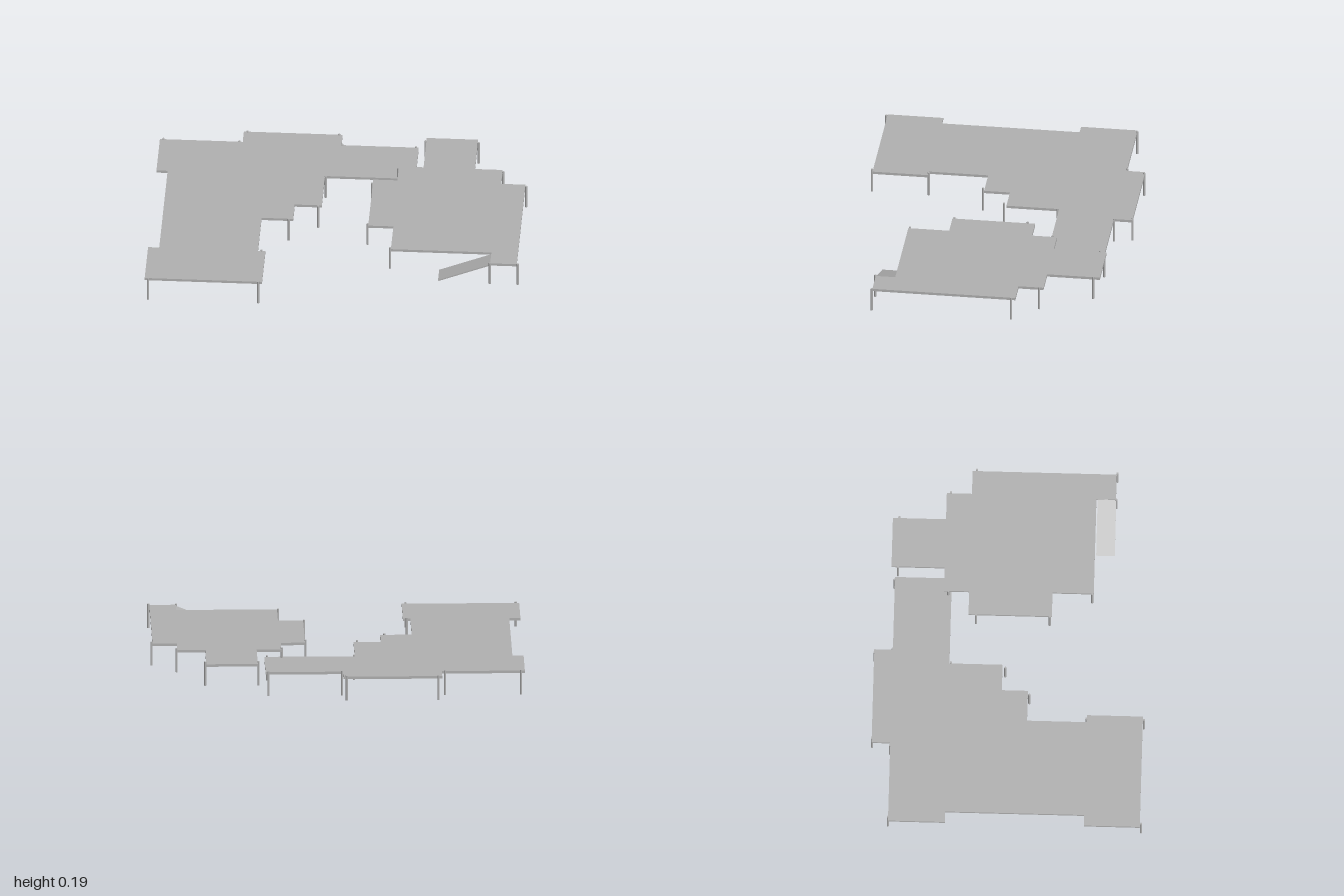
import * as THREE from 'three';

const grey = new THREE.MeshStandardMaterial({ color: 0xb2b2b2 });
grey.name = 'grey';

// Flat slab from an [x, z] outline
function deck(name, outline, bottom, thickness) {
  const shape = new THREE.Shape(outline.map(([x, z]) => new THREE.Vector2(x, -z)));
  const geo = new THREE.ExtrudeGeometry(shape, { depth: thickness, bevelEnabled: false });
  geo.rotateX(-Math.PI / 2);
  const mesh = new THREE.Mesh(geo, grey);
  mesh.position.y = bottom;
  mesh.name = name;
  return mesh;
}

// Slim posts standing at [x, z] spots
function posts(name, spots, bottom, top) {
  const group = new THREE.Group();
  group.name = name;
  const geo = new THREE.CylinderGeometry(0.006, 0.006, top - bottom, 10);
  for (const [x, z] of spots) {
    const post = new THREE.Mesh(geo, grey);
    post.position.set(x, (bottom + top) / 2, z);
    post.name = 'post';
    group.add(post);
  }
  return group;
}

export function createModel() {
  const model = new THREE.Group();
  model.name = 'raisedDecks';

  // Lower L-shaped deck
  model.add(deck('lowerDeck', [
    [-1, -0.63], [-0.555, -0.63], [-0.555, -0.73], [-0.025, -0.73], [-0.025, -0.63],
    [0.39, -0.63], [0.39, -0.325], [-0.095, -0.325], [-0.095, -0.04], [-0.24, -0.04],
    [-0.24, 0.1], [-0.41, 0.1], [-0.41, 0.42], [-0.37, 0.42], [-0.37, 0.72],
    [-1, 0.72], [-1, 0.42], [-0.94, 0.42], [-0.94, -0.325], [-1, -0.325],
  ], 0.118, 0.014));
  model.add(posts('lowerPosts', [
    [-0.98, -0.631], [-0.572, -0.631], [-0.535, -0.728], [-0.043, -0.728], [-0.02, -0.631],
    [0.375, -0.631], [0.375, -0.317], [-0.09, -0.317], [-0.113, -0.025], [-0.263, 0.108],
    [-0.39, 0.418], [-0.39, 0.726], [-0.982, 0.726],
  ], 0, 0.137));

  // Upper stepped deck
  model.add(deck('upperDeck', [
    [0.432, -0.65], [0.708, -0.65], [0.708, -0.365], [0.857, -0.365], [0.857, -0.23],
    [0.987, -0.23], [0.987, 0.543], [0.845, 0.543], [0.845, 0.438], [0.305, 0.438],
    [0.305, 0.217], [0.17, 0.217], [0.17, -0.23], [0.3, -0.23], [0.3, -0.365], [0.432, -0.365],
  ], 0.169, 0.014));
  model.add(posts('upperPosts', [
    [0.427, -0.615], [0.713, -0.615], [0.861, -0.342], [0.297, -0.342], [0.993, -0.207],
    [0.166, -0.19], [0.166, 0.206], [0.3, 0.43], [0.843, 0.546], [0.993, 0.546],
  ], 0.055, 0.188));

  // Sloping ramp rising to the upper deck
  const low = new THREE.Vector2(0.566, 0.062), high = new THREE.Vector2(0.848, 0.174);
  const ramp = new THREE.Mesh(
    new THREE.BoxGeometry(low.distanceTo(high), 0.007, 0.1), grey);
  ramp.rotation.z = high.clone().sub(low).angle();
  ramp.position.set((low.x + high.x) / 2, (low.y + high.y) / 2, 0.494);
  ramp.name = 'ramp';
  model.add(ramp);

  return model;
}
